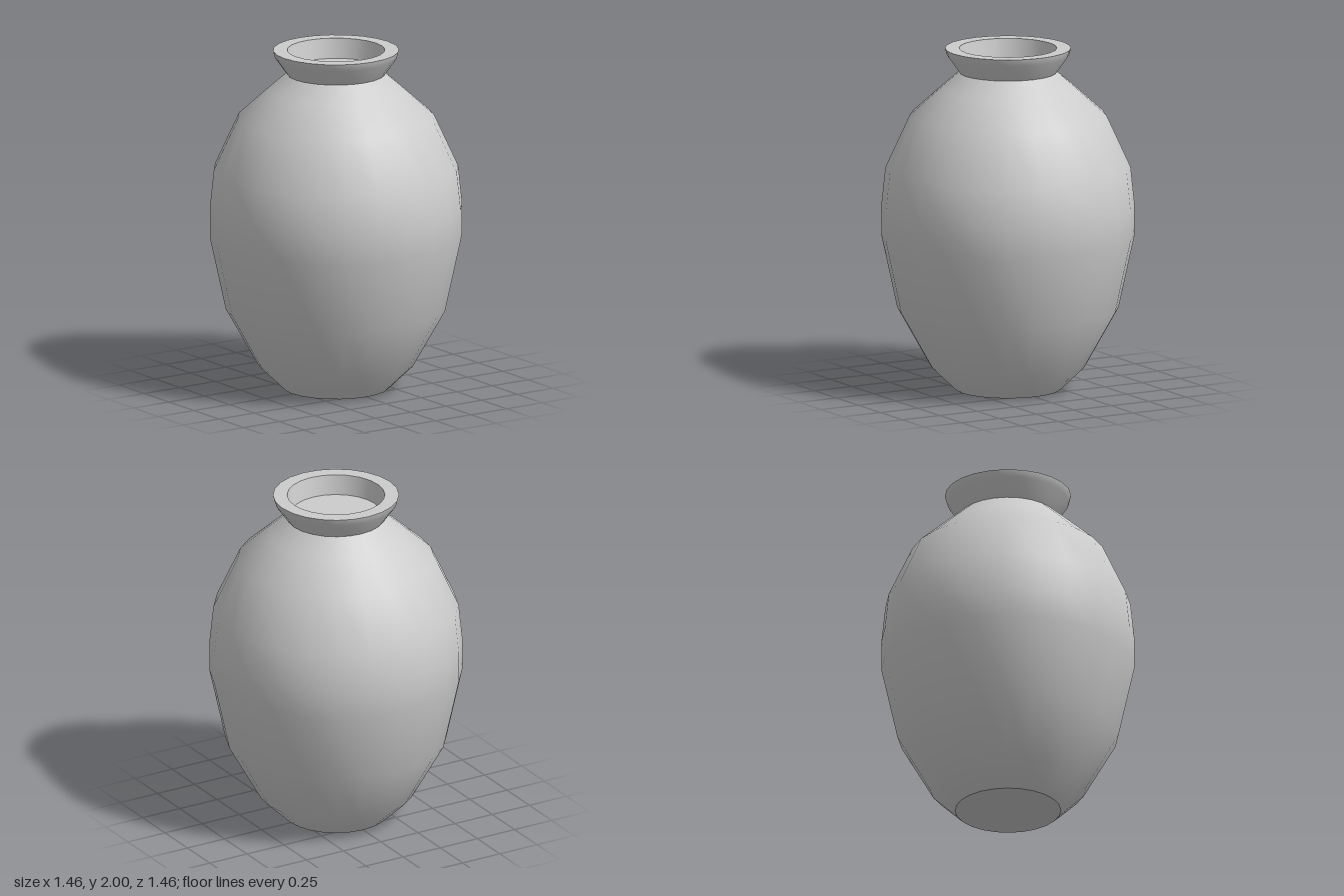
import * as THREE from 'three';

const SIDES = 24;

export function createModel() {
  const vase = new THREE.Group();
  vase.name = 'vase';
  const clay = new THREE.MeshStandardMaterial({ color: 0xcccccc });
  clay.name = 'pale grey clay';

  // Each profile is a smooth surface; creases fall between separate profiles.
  const turn = (name, profile) => {
    const points = profile.map(([r, y]) => new THREE.Vector2(r, y));
    const mesh = new THREE.Mesh(new THREE.LatheGeometry(points, SIDES), clay);
    mesh.name = name;
    vase.add(mesh);
  };

  // Flat foot
  turn('base', [[0, 0], [0.305, 0]]);

  // Rounded belly and shoulder
  turn('body', [
    [0.305, 0], [0.45, 0.14], [0.638, 0.475], [0.73, 0.9], [0.73, 1.08],
    [0.707, 1.3], [0.567, 1.605], [0.385, 1.77], [0.283, 1.86],
  ]);

  // Flared neck and flat rim
  turn('neck', [[0.283, 1.86], [0.353, 1.96], [0.364, 2]]);
  turn('rim', [[0.364, 2], [0.282, 2]]);

  // Shallow mouth closed by a floor
  turn('mouthWall', [[0.282, 2], [0.26, 1.885]]);
  turn('mouthFloor', [[0.26, 1.885], [0, 1.885]]);

  return vase;
}
